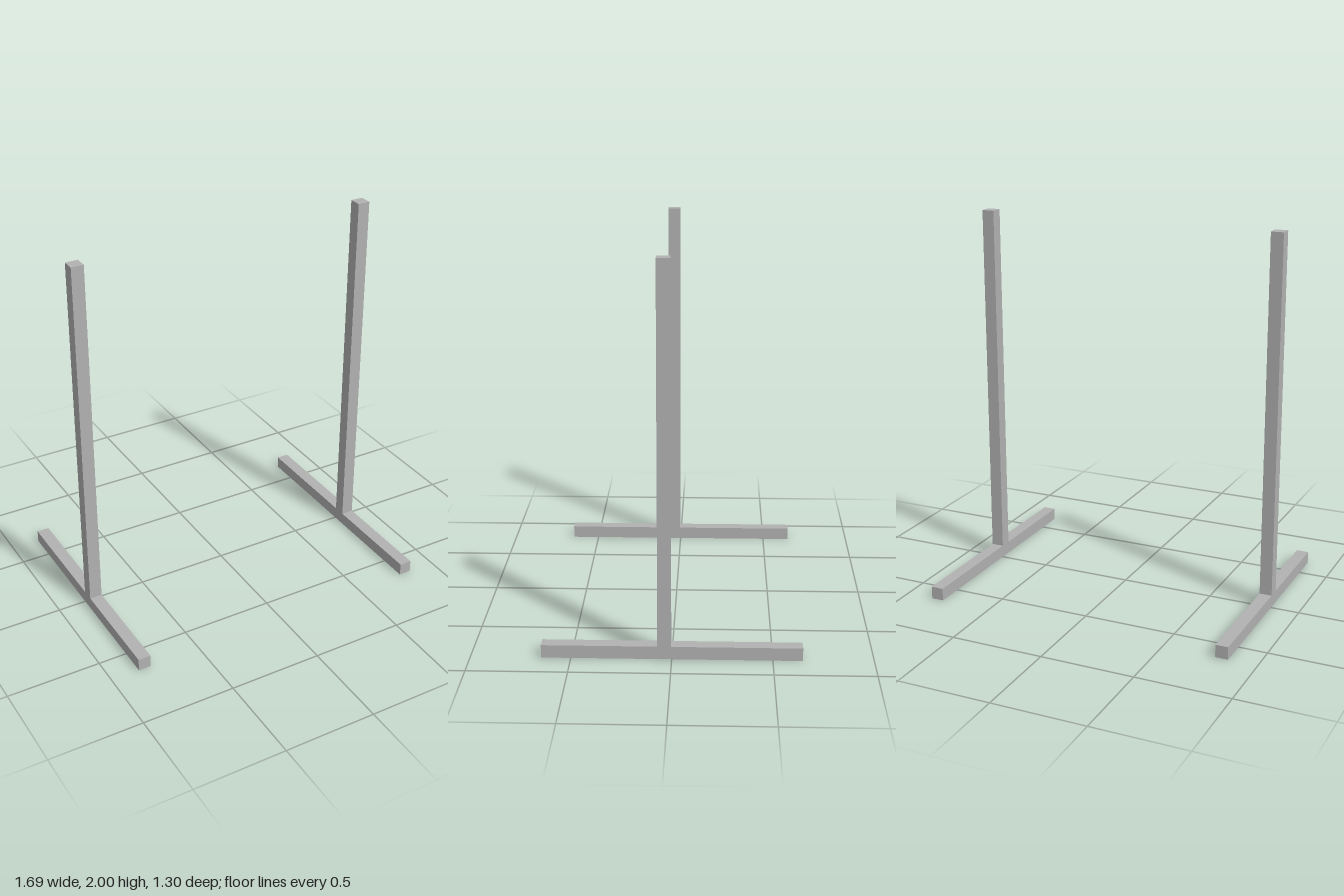
import * as THREE from 'three';

const BAR = 0.067;        // square bar thickness
const HALF_FOOT = 0.648;  // half the foot length
const HEIGHT = 2;
const HALF_WIDTH = 0.847; // outer face of each stand
const POST_BACK = 0.004;  // the post sits just ahead of centre

export function createModel() {
  const model = new THREE.Group();
  model.name = 'standPair';
  const grey = new THREE.MeshStandardMaterial({ color: 0xb2b2b2 });
  grey.name = 'grey';

  // Inverted T side profile, drawn with its x axis along -z
  const back = -POST_BACK;
  const front = back - BAR;
  const profile = new THREE.Shape([
    [-HALF_FOOT, 0], [HALF_FOOT, 0], [HALF_FOOT, BAR], [back, BAR],
    [back, HEIGHT], [front, HEIGHT], [front, BAR], [-HALF_FOOT, BAR],
  ].map(([x, y]) => new THREE.Vector2(x, y)));

  const geometry = new THREE.ExtrudeGeometry(profile, { depth: BAR, bevelEnabled: false });
  geometry.translate(0, 0, -BAR / 2);
  geometry.rotateY(Math.PI / 2);

  // One stand, post and foot together, on each side
  for (const [name, side] of [['leftStand', 1], ['rightStand', -1]]) {
    const stand = new THREE.Mesh(geometry, grey);
    stand.name = name;
    stand.position.x = side * (HALF_WIDTH - BAR / 2);
    model.add(stand);
  }
  return model;
}
